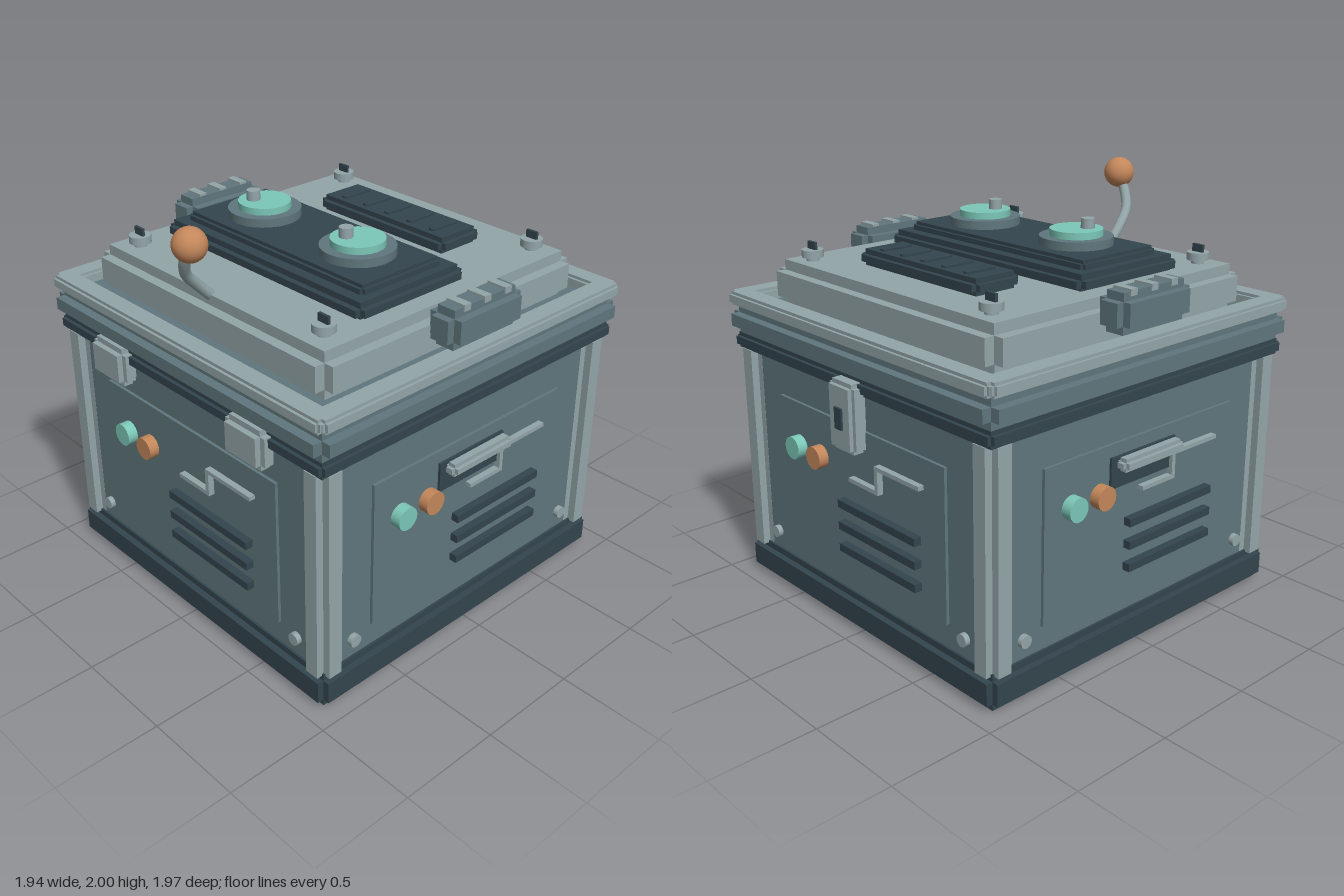
import * as THREE from 'three';

const mat = (name, color) => {
  const m = new THREE.MeshStandardMaterial({ color });
  m.name = name;
  return m;
};

export function createModel() {
  const light = mat('light steel', 0x93a5a8);
  const medium = mat('slate steel', 0x60777d);
  const dark = mat('dark navy', 0x34454e);
  const teal = mat('teal', 0x7cc8b7);
  const copper = mat('copper', 0xc4875b);

  const root = new THREE.Group();
  root.name = 'machineCrate';

  const add = (parent, name, geometry, material, x, y, z) => {
    const m = new THREE.Mesh(geometry, material);
    m.name = name;
    m.position.set(x, y, z);
    parent.add(m);
    return m;
  };
  const box = (parent, name, material, w, h, d, x, y, z) =>
    add(parent, name, new THREE.BoxGeometry(w, h, d), material, x, y, z);
  const cyl = (parent, name, material, r, h, x, y, z) =>
    add(parent, name, new THREE.CylinderGeometry(r, r, h, 24), material, x, y, z);

  // Block with notched edges: three crossing boxes, each full size on one axis
  const stepped = (parent, name, material, w, h, d, b, x, y, z) => {
    const g = new THREE.Group();
    g.name = name;
    g.position.set(x, y, z);
    box(g, name + 'Wide', material, w, h - 2 * b, d - 2 * b, 0, 0, 0);
    box(g, name + 'Tall', material, w - 2 * b, h, d - 2 * b, 0, 0, 0);
    box(g, name + 'Deep', material, w - 2 * b, h - 2 * b, d, 0, 0, 0);
    parent.add(g);
    return g;
  };

  // Crate body, base and corner posts
  const Z = 0.005;
  stepped(root, 'base', dark, 1.846, 0.17, 1.846, 0.032, 0, 0.085, Z);
  box(root, 'body', medium, 1.76, 1.1, 1.76, 0, 0.65, Z);
  for (const sx of [-1, 1]) for (const sz of [-1, 1])
    stepped(root, 'cornerPost', light, 0.145, 1.1, 0.145, 0.037, sx * 0.845, 0.672, Z + sz * 0.845);

  // Four matching sides
  const D = 0.88;
  for (let i = 0; i < 4; i++) {
    const side = new THREE.Group();
    side.name = ['front', 'right', 'back', 'left'][i] + 'Side';
    side.position.z = Z;
    side.rotation.y = i * Math.PI / 2;
    root.add(side);
    box(side, 'panel', medium, 1.21, 0.725, 0.03, 0, 0.648, D);
    const disc = (name, material, r, u, y, front) => {
      const h = front - D + 0.01;
      cyl(side, name, material, r, h, u, y, front - h / 2).rotation.x = Math.PI / 2;
    };
    disc('tealButton', teal, 0.055, -0.45, 0.797, 0.945);
    disc('copperButton', copper, 0.055, -0.28, 0.797, 0.945);
    for (const s of [-1, 1]) disc('rivet', light, 0.03, s * 0.71, 0.26, 0.905);
    for (const y of [0.405, 0.515, 0.625])
      box(side, 'ventSlat', dark, 0.555, 0.038, 0.05, 0.165, y, 0.908);
    // Stepped conduit
    box(side, 'conduitLow', light, 0.215, 0.02, 0.04, 0.0775, 0.765, 0.905);
    box(side, 'conduitRise', light, 0.022, 0.13, 0.04, 0.174, 0.82, 0.905);
    box(side, 'conduitHigh', light, 0.305, 0.02, 0.04, 0.3175, 0.88, 0.905);
    // Carrying handle on the two flanks
    if (i % 2) {
      box(side, 'handleRecess', dark, 0.415, 0.145, 0.03, -0.01, 0.88, 0.892);
      stepped(side, 'handleBar', light, 0.39, 0.062, 0.07, 0.018, 0, 0.922, 0.937);
    }
  }

  // Gasket, lid and rim
  stepped(root, 'gasket', dark, 1.86, 0.075, 1.86, 0.018, 0, 1.222, Z);
  stepped(root, 'lid', medium, 1.905, 0.15, 1.905, 0.045, 0, 1.328, Z);
  for (const s of [-1, 1]) {
    stepped(root, 'rimBar', light, 0.115, 0.065, 1.86, 0.014, s * 0.893, 1.432, Z);
    stepped(root, 'rimBar', light, 1.86, 0.065, 0.115, 0.014, 0, 1.432, Z + s * 0.893);
  }
  stepped(root, 'lidDais', light, 1.58, 0.22, 1.58, 0.05, 0, 1.51, Z);

  // Latches
  for (const s of [-1, 1])
    stepped(root, 'frontLatch', light, 0.25, 0.19, 0.1, 0.027, s * 0.485, 1.18, 0.93);
  stepped(root, 'backLatch', light, 0.18, 0.325, 0.09, 0.02, 0, 1.083, -0.93);
  box(root, 'keyhole', dark, 0.05, 0.1, 0.02, 0, 1.08, -0.975);

  // Side grips with ridges
  for (const s of [-1, 1]) {
    stepped(root, 'grip', medium, 0.17, 0.182, 0.455, 0.038, s * 0.873, 1.587, 0.005);
    for (const z of [-0.13, 0, 0.125])
      box(root, 'gripRidge', light, 0.1, 0.03, 0.04, s * 0.878, 1.675, z);
  }

  // Lid screws with raised slots
  for (const x of [-0.63, 0.63]) for (const z of [-0.65, 0.645]) {
    cyl(root, 'screwNeck', light, 0.03, 0.04, x, 1.63, z);
    cyl(root, 'screwHead', light, 0.052, 0.036, x, 1.656, z);
    box(root, 'screwSlot', dark, 0.06, 0.04, 0.014, x, 1.69, z);
  }

  // Console with two gauges
  stepped(root, 'consoleBase', dark, 1.32, 0.09, 0.64, 0.028, 0, 1.65, 0.155);
  stepped(root, 'consoleTop', dark, 1.18, 0.07, 0.48, 0.016, 0, 1.7, 0.155);
  for (const x of [-0.313, 0.313]) {
    cyl(root, 'gaugeRing', medium, 0.172, 0.04, x, 1.755, 0.155);
    cyl(root, 'gaugeFace', teal, 0.124, 0.035, x, 1.79, 0.155);
    cyl(root, 'gaugeKnob', light, 0.032, 0.05, x - 0.038, 1.829, 0.19);
  }

  // Top vent with raised pills
  stepped(root, 'topVent', dark, 0.825, 0.08, 0.265, 0.024, 0, 1.657, -0.412);
  for (let i = -2; i <= 2; i++) {
    const x = i * 0.146;
    box(root, 'ventPill', dark, 0.044, 0.02, 0.125, x, 1.697, -0.415);
    for (const s of [-1, 1])
      cyl(root, 'ventPillEnd', dark, 0.022, 0.02, x, 1.697, -0.415 + s * 0.0625);
  }

  // Curved lever and ball
  const path = new THREE.CatmullRomCurve3([
    [0, 1.6, 0.72], [0.008, 1.68, 0.8], [0.03, 1.755, 0.87], [0.07, 1.83, 0.902], [0.12, 1.92, 0.908],
  ].map(p => new THREE.Vector3(...p)));
  add(root, 'lever', new THREE.TubeGeometry(path, 20, 0.025, 12), light, 0, 0, 0);
  add(root, 'leverBall', new THREE.SphereGeometry(0.076, 24, 16), copper, 0.12, 1.925, 0.908);

  return root;
}
